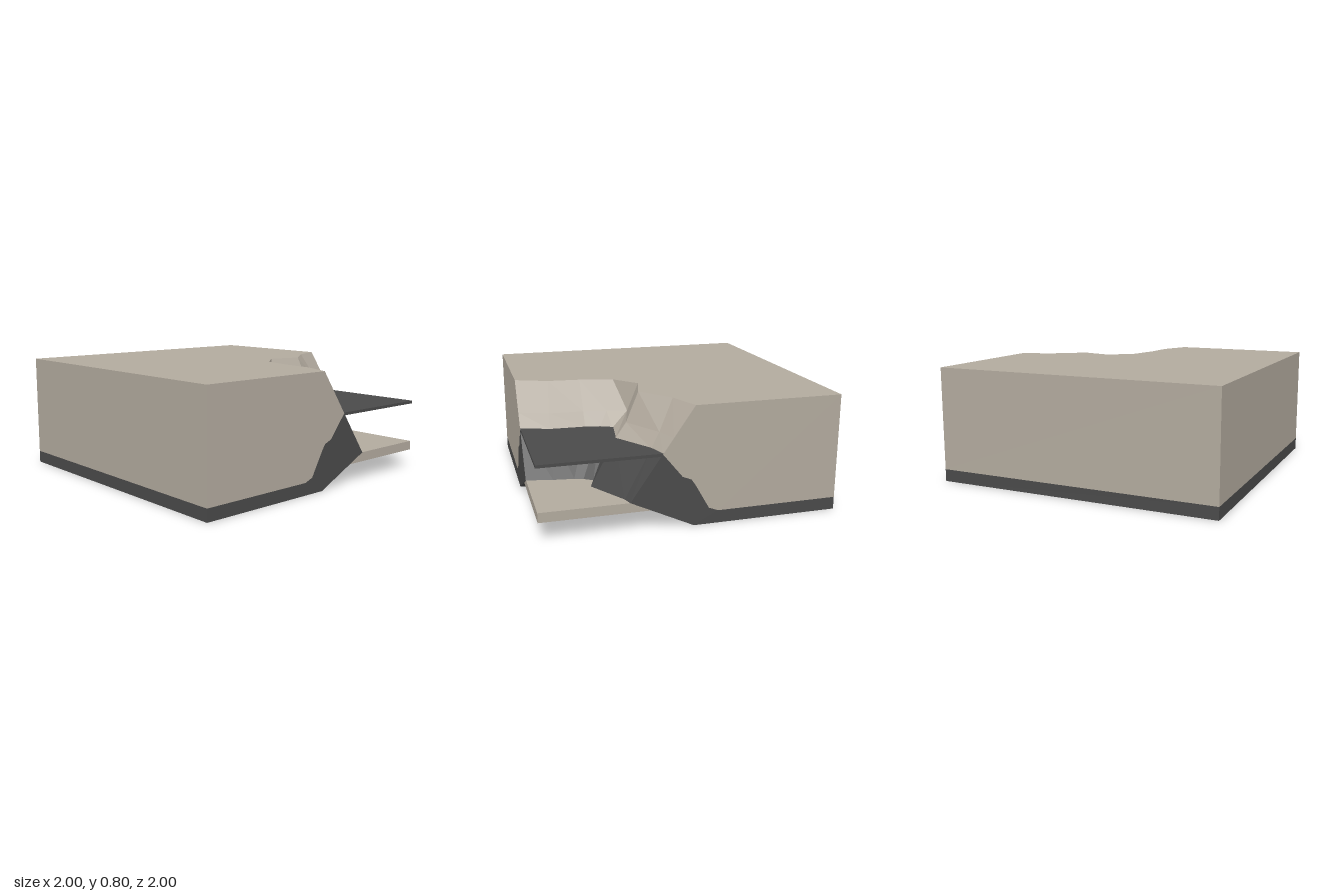
import * as THREE from 'three';

const stone = new THREE.MeshStandardMaterial({ color: 0xb2aa9e, side: THREE.DoubleSide, flatShading: true });
stone.name = 'warm stone';
const dark = new THREE.MeshStandardMaterial({ color: 0x4a4a4a, side: THREE.DoubleSide, flatShading: true });
dark.name = 'dark rock';

// Broken corner contours [x, z], running from the back edge to the left edge
const rim = [[0, -1], [0.08, -0.78], [0.25, -0.56], [0.19, -0.33], [0.33, -0.165], [0.56, -0.11], [0.78, -0.09], [1, 0]];
const slope = [[0.14, -1], [0.19, -0.85], [0.34, -0.58], [0.26, -0.29], [0.4, -0.255], [0.56, -0.23], [0.8, -0.22], [1, -0.14]];
const ledge = [[0.21, -1], [0.25, -0.87], [0.42, -0.6], [0.38, -0.35], [0.46, -0.31], [0.56, -0.29], [0.8, -0.28], [1, -0.21]];
const lip = [[0.42, -1], [0.44, -0.93], [0.6, -0.65], [0.56, -0.54], [0.62, -0.5], [0.68, -0.48], [0.82, -0.46], [1, -0.42]];

// Wall profiles beside the break: [distance along wall, height]
const seam = [[0.165, 0.085], [0.1, 0.11], [0.01, 0.27], [-0.02, 0.315], [-0.08, 0.34], [-0.21, 0.5]];
const lowerWall = [[1, 0], [1, 0.085], ...seam, [-0.42, 0.2], [0, 0]];
const upperWall = [[1, 0.085], ...seam, [-0.14, 0.6], [0, 0.8], [1, 0.8]];

function flat(points) {
  return new THREE.ShapeGeometry(new THREE.Shape(points.map(([x, y]) => new THREE.Vector2(x, y))));
}

// Faceted band joining two contours at different heights
function band(top, topY, low, lowY) {
  const pos = [];
  const put = ([x, z], y) => pos.push(x, y, z);
  for (let i = 0; i < top.length - 1; i++) {
    put(top[i], topY); put(top[i + 1], topY); put(low[i], lowY);
    put(top[i + 1], topY); put(low[i + 1], lowY); put(low[i], lowY);
  }
  const geo = new THREE.BufferGeometry();
  geo.setAttribute('position', new THREE.Float32BufferAttribute(pos, 3));
  geo.computeVertexNormals();
  return geo;
}

export function createModel() {
  const group = new THREE.Group();
  const add = (name, geo, mat) => {
    const mesh = new THREE.Mesh(geo, mat);
    mesh.name = name;
    group.add(mesh);
  };

  // Top surface with the corner missing
  const outline = [...rim, [1, 1], [-1, 1], [-1, -1]].map(([x, z]) => [x, -z]);
  add('topSurface', flat(outline).rotateX(-Math.PI / 2).translate(0, 0.8, 0), stone);

  // Whole walls at the front and right, open underneath
  for (const [side, turn] of [['front', 0], ['right', -Math.PI / 2]]) {
    add(side + 'Wall', new THREE.PlaneGeometry(2, 0.715).translate(0, 0.4425, 1).rotateY(turn), stone);
    add(side + 'Footing', new THREE.PlaneGeometry(2, 0.085).translate(0, 0.0425, 1).rotateY(turn), dark);
  }

  // Broken walls at the left and back, mirrored from the same profiles
  for (const [side, sign, turn] of [['left', -1, Math.PI / 2], ['back', 1, Math.PI]]) {
    for (const [part, profile, mat] of [['Wall', upperWall, stone], ['Footing', lowerWall, dark]]) {
      const points = profile.map(([p, y]) => [sign * p, y]);
      add(side + part, flat(points).translate(0, 0, 1).rotateY(turn), mat);
    }
  }

  // Cliff faces of the broken corner
  add('upperCliff', band(rim, 0.8, slope, 0.6), stone);
  add('cliffFoot', band(slope, 0.6, ledge, 0.5), stone);
  add('lowerCliff', band(ledge, 0.5, lip, 0.2), dark);
  add('undercut', band(lip, 0.2, rim, 0), dark);

  // Thin ledge plate and the floor slab below it
  add('ledgePlate', new THREE.BoxGeometry(0.798, 0.02, 0.788).translate(0.6, 0.495, -0.605), dark);
  add('floorSlab', new THREE.BoxGeometry(1.996, 0.065, 1.996).translate(0, 0.1675, 0), stone);

  return group;
}
